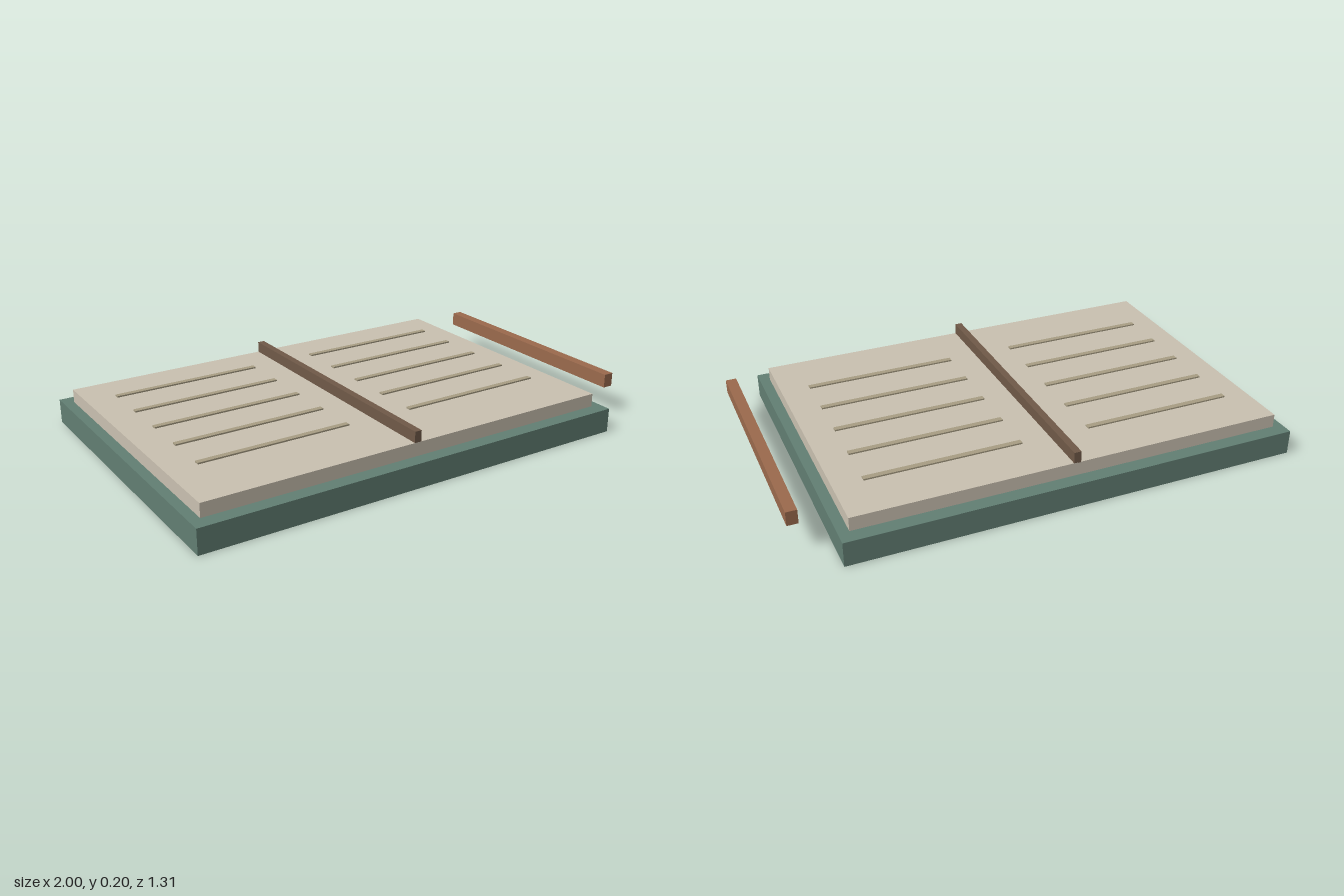
import * as THREE from 'three';

const paint = (name, color) => {
  const m = new THREE.MeshStandardMaterial({ color });
  m.name = name;
  return m;
};

export function createModel() {
  const book = new THREE.Group();
  book.name = 'openBook';

  const green = paint('coverGreen', 0x627f73);
  const cream = paint('pageCream', 0xcac1b1);
  const dark = paint('spineBrown', 0x705a48);
  const ink = paint('lineOlive', 0xa89e84);
  const rust = paint('penRust', 0x9b6a4d);

  // Box given by its extents along each axis
  const block = (name, mat, [x0, x1], [y0, y1], [z0, z1]) => {
    const mesh = new THREE.Mesh(new THREE.BoxGeometry(x1 - x0, y1 - y0, z1 - z0), mat);
    mesh.position.set((x0 + x1) / 2, (y0 + y1) / 2, (z0 + z1) / 2);
    mesh.name = name;
    book.add(mesh);
  };

  // Cover, page block and the raised centre strip
  block('cover', green, [-1, 0.845], [0, 0.1], [-0.655, 0.655]);
  block('pages', cream, [-0.958, 0.803], [0.1, 0.155], [-0.597, 0.597]);
  block('spine', dark, [-0.092, -0.063], [0.153, 0.2], [-0.597, 0.597]);

  // Five thin text lines hovering over each page
  for (const [side, x0] of [['right', -0.845], ['left', 0.063]]) {
    for (let i = 0; i < 5; i++) {
      const z = -0.401 + i * 0.185;
      block(`${side}TextLine${i + 1}`, ink, [x0, x0 + 0.627], [0.165, 0.171], [z - 0.0113, z + 0.0113]);
    }
  }

  // Pen floating beside the book
  block('pen', rust, [0.957, 1], [0.122, 0.179], [-0.513, 0.513]);

  return book;
}
